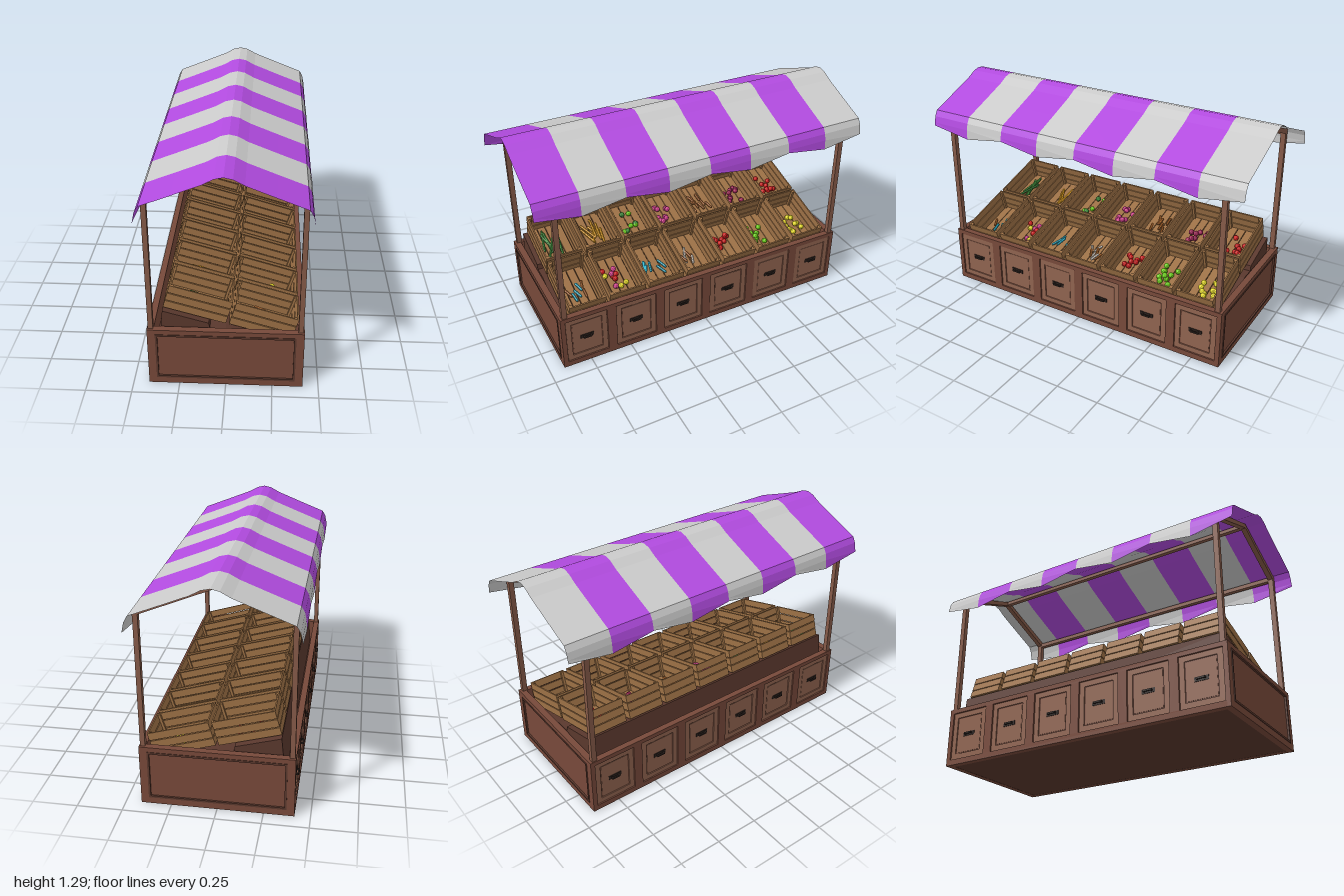
import * as THREE from 'three';

const mat = (color) => new THREE.MeshStandardMaterial({ color, flatShading: true });
const M = {
  frame: mat(0x77493a), door: mat(0x8f634f), dark: mat(0x5a382d), post: mat(0x855a48),
  crate: mat(0x9c7045), handle: mat(0x2a201c),
};

let seed = 7;
const rnd = () => { seed = (seed * 16807) % 2147483647; return seed / 2147483647; };
const spread = (r) => (rnd() * 2 - 1) * r;

function add(parent, name, geometry, material, x = 0, y = 0, z = 0) {
  const m = new THREE.Mesh(geometry, material);
  m.name = name;
  m.position.set(x, y, z);
  parent.add(m);
  return m;
}
const box = (parent, name, w, h, d, material, x, y, z) =>
  add(parent, name, new THREE.BoxGeometry(w, h, d), material, x, y, z);

function group(parent, name) {
  const g = new THREE.Group();
  g.name = name;
  parent.add(g);
  return g;
}

// Rectangle outline as a list of points, centred on (cx, cy)
const rect = (w, h, cx = 0, cy = 0) => [[-1, -1], [1, -1], [1, 1], [-1, 1]]
  .map(([a, b]) => new THREE.Vector2(cx + a * w / 2, cy + b * h / 2));

// Flat board with rectangular openings
function board(w, h, holes, depth) {
  const s = new THREE.Shape(rect(w, h));
  holes.forEach((r) => s.holes.push(new THREE.Path(rect(...r))));
  return new THREE.ExtrudeGeometry(s, { depth, bevelEnabled: false });
}

// Long side of the counter: six framed doors with handles, facing +z
function doorWall(parent, turn) {
  const g = group(parent, 'doorWall');
  g.rotation.y = turn;
  const xs = [...Array(6)].map((_, i) => (i - 2.5) * 0.305);
  box(g, 'wallBack', 1.8, 0.35, 0.02, M.frame, 0, 0.175, 0.39);
  add(g, 'wallFrame', board(1.82, 0.35, xs.map((x) => [0.25, 0.29, x, 0.003]), 0.02), M.frame, 0, 0.175, 0.395);
  for (const x of xs) {
    add(g, 'doorFrame', board(0.245, 0.285, [[0.185, 0.225]], 0.009), M.door, x, 0.178, 0.4);
    add(g, 'doorMoulding', board(0.185, 0.225, [[0.172, 0.212]], 0.003), M.frame, x, 0.178, 0.4);
    box(g, 'doorPanel', 0.172, 0.212, 0.006, M.door, x, 0.178, 0.402);
    box(g, 'handlePlate', 0.08, 0.024, 0.005, M.handle, x, 0.18, 0.406);
    box(g, 'handleGrip', 0.05, 0.01, 0.008, M.handle, x, 0.18, 0.42);
    for (const s of [-1, 1]) box(g, 'handleLeg', 0.007, 0.01, 0.014, M.handle, x + s * 0.0215, 0.18, 0.414);
  }
}

// Short end of the counter with one framed panel, facing +z
function endWall(parent, turn) {
  const g = group(parent, 'endWall');
  g.rotation.y = turn;
  box(g, 'wallBack', 0.8, 0.35, 0.022, M.frame, 0, 0.175, 0.889);
  add(g, 'wallFrame', board(0.83, 0.35, [[0.745, 0.285, 0, 0.005]], 0.02), M.frame, 0, 0.175, 0.895);
  add(g, 'panelMoulding', board(0.745, 0.285, [[0.722, 0.262]], 0.02), M.dark, 0, 0.18, 0.898);
  box(g, 'endPanel', 0.722, 0.262, 0.01, M.frame, 0, 0.18, 0.903);
}

// Slatted crate with its floor at y = 0
function crate(parent, x, y, z, tilt) {
  const g = group(parent, 'crate');
  g.position.set(x, y, z);
  g.rotation.z = tilt;
  const L = 0.345, W = 0.22, T = 0.008;
  for (const s of [-1, 1]) {
    for (let i = 0; i < 3; i++) {
      const h = 0.0225 + i * 0.0485;
      box(g, 'sideSlat', L, 0.043, T, M.crate, 0, h, s * (W - T) / 2);
      box(g, 'endSlat', T, 0.043, W - 2 * T, M.crate, s * (L - T) / 2, h, 0);
    }
    for (const t of [-1, 1]) box(g, 'cornerPost', 0.014, 0.135, 0.014, M.crate, s * 0.157, 0.07, t * 0.095);
  }
  for (let i = 0; i < 4; i++) box(g, 'floorSlat', L - 2 * T, 0.008, 0.046, M.crate, 0, 0.005, (i - 1.5) * 0.05);
  return g;
}

// Small heap of round or long produce on a crate floor
function produce(parent, { long, colors, n }) {
  const g = group(parent, 'produce');
  const geo = long ? new THREE.CapsuleGeometry(0.008, long, 2, 6).rotateZ(Math.PI / 2)
    : new THREE.IcosahedronGeometry(0.017, 1);
  for (let i = 0; i < n; i++) {
    const m = add(g, 'produceItem', geo, colors[i % colors.length],
      spread(long ? 0.05 : 0.07), 0.02 + 0.025 * (i / n), spread(0.06));
    m.rotation.y = spread(long ? 0.5 : 3);
  }
}

// Striped cloth: one strip between two z positions, with a zigzag hem
function stripe(parent, k) {
  const half = [[0, 1.293], [0.045, 1.283], [0.1, 1.253], [0.25, 1.193], [0.405, 1.132], [0.424, 1.098], [0.432, 1.06], [0.436, 0]];
  const profile = [...half.slice(1).reverse().map(([x, y]) => [-x, y]), ...half];
  const pos = [], idx = [];
  profile.forEach(([x, y], i) => {
    for (const e of [k, k + 1]) pos.push(x, y || (e % 2 ? 1.003 : 1.043), -1 + e * 0.25);
    const a = i * 2;
    if (i < profile.length - 1) idx.push(a, a + 1, a + 2, a + 1, a + 3, a + 2);
  });
  const geo = new THREE.BufferGeometry();
  geo.setAttribute('position', new THREE.Float32BufferAttribute(pos, 3));
  geo.setIndex(idx);
  geo.computeVertexNormals();
  const m = mat(k % 2 ? 0xb24be0 : 0xcccccc);
  m.side = THREE.DoubleSide;
  add(parent, 'canopyStripe', geo, m);
}

function prism(points, depth) {
  const s = new THREE.Shape(points.map((p) => new THREE.Vector2(...p)));
  return new THREE.ExtrudeGeometry(s, { depth, bevelEnabled: false }).translate(0, 0, -depth / 2);
}

export function createModel() {
  const root = new THREE.Group();
  root.name = 'marketStall';

  // Counter
  const counter = group(root, 'counter');
  box(counter, 'counterCore', 0.78, 0.21, 1.78, M.dark, 0, 0.106, 0);
  box(counter, 'counterBottom', 0.82, 0.01, 1.81, M.dark, 0, 0.006, 0);
  for (const s of [-1, 1]) {
    doorWall(counter, s * Math.PI / 2);
    endWall(counter, s > 0 ? 0 : Math.PI);
  }
  // Stepped, sloping shelf under the crates
  add(counter, 'shelf', prism([[-0.36, 0.2], [0.375, 0.2], [0.375, 0.235], [0, 0.34],
    [-0.085, 0.34], [-0.09, 0.372], [-0.335, 0.442]], 1.74), M.dark);

  // Crates and their contents, from the front (+z) to the back
  const [green, lime, orange, yellow, pink, brown, plum, red, cyan, white] =
    [0x3f8a3a, 0x6fd11c, 0xe0a020, 0xe2d82a, 0xd0408c, 0xa8642c, 0xa02858, 0xc81e1e, 0x2fb4cc, 0xd8cfc4].map(mat);
  const upper = [
    { long: 0.15, colors: [green], n: 6 }, { long: 0.12, colors: [orange], n: 8 }, { colors: [lime, green], n: 7 },
    { colors: [pink], n: 10 }, { long: 0.05, colors: [brown], n: 9 }, { colors: [plum], n: 10 }, { colors: [red], n: 10 },
  ];
  const lower = [
    { long: 0.05, colors: [cyan, brown], n: 6 }, { colors: [red, yellow, pink], n: 10 }, { long: 0.06, colors: [cyan], n: 6 },
    { long: 0.05, colors: [white, brown], n: 7 }, { colors: [red], n: 11 }, { colors: [lime], n: 10 }, { colors: [yellow], n: 10 },
  ];
  for (let i = 0; i < 7; i++) {
    const z = (3 - i) * 0.245;
    produce(crate(root, -0.168, 0.403, z, -0.28), upper[i]);
    produce(crate(root, 0.18, 0.304, z, -0.29), lower[i]);
  }

  // Posts, rafters and long beams
  const wood = group(root, 'roofFrame');
  for (const s of [-1, 1]) {
    for (const t of [-1, 1]) box(wood, 'post', 0.027, 0.78, 0.03, M.post, s * 0.396, 0.73, t * 0.886);
    add(wood, 'rafters', prism([[-0.41, 1.09], [0, 1.255], [0.41, 1.09], [0.41, 1.122], [0, 1.282], [-0.41, 1.122]], 0.03),
      M.post, 0, 0, s * 0.886);
    box(wood, 'eaveBeam', 0.026, 0.026, 1.76, M.post, s * 0.396, 1.106, 0);
  }
  box(wood, 'ridgeBeam', 0.026, 0.022, 1.76, M.post, 0, 1.267, 0);

  // Canopy
  const canopy = group(root, 'canopy');
  for (let k = 0; k < 8; k++) stripe(canopy, k);
  return root;
}
